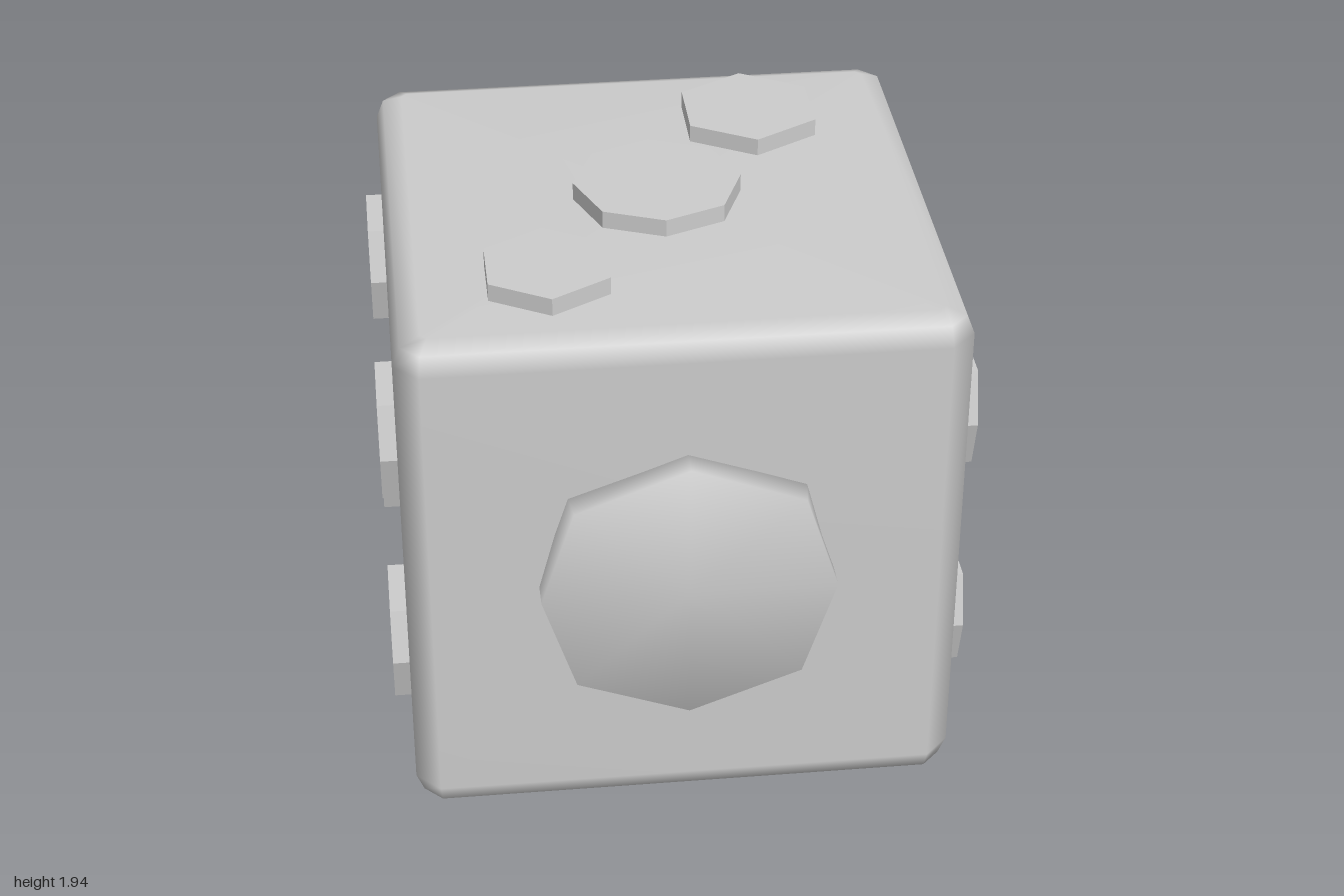
import * as THREE from 'three';

const material = new THREE.MeshStandardMaterial({ color: 0xcccccc });
const CENTER_Y = 0.97;

// Smooth closed solid through matching rings [[x, y], ...] stacked along +z
function loft(levels) {
  const n = levels[0].ring.length, pos = [], index = [];
  for (const { ring, z } of levels) for (const [x, y] of ring) pos.push(x, y, z);
  for (let k = 0; k < levels.length - 1; k++) {
    for (let i = 0; i < n; i++) {
      const a = k * n + i, b = k * n + (i + 1) % n;
      index.push(a, b, b + n, a, b + n, a + n);
    }
  }
  const last = levels.length - 1, c = levels.length * n;
  pos.push(0, 0, levels[0].z, 0, 0, levels[last].z);
  for (let i = 0; i < n; i++) {
    const j = (i + 1) % n;
    index.push(c, j, i, c + 1, last * n + i, last * n + j);
  }
  const geo = new THREE.BufferGeometry();
  geo.setAttribute('position', new THREE.Float32BufferAttribute(pos, 3));
  geo.setIndex(index);
  geo.computeVertexNormals();
  return geo;
}

// Square with chamfered corners, counter-clockwise
function chamferedSquare(h, c) {
  const d = h - c;
  return [[h, -d], [h, d], [d, h], [-d, h], [-h, d], [-h, -d], [-d, -h], [d, -h]];
}

// Octagon with its diagonal corners at (dx, dy)
const octagon = (r, dx, dy) =>
  [[r, 0], [dx, dy], [0, r], [-dx, dy], [-r, 0], [-dx, -dy], [0, -r], [dx, -dy]];

const hexagon = (r) => [0, 1, 2, 3, 4, 5].map((i) => {
  const a = Math.PI / 6 + i * Math.PI / 3;
  return [r * Math.cos(a), r * Math.sin(a)];
});

// Hexagon lying on its flats, w and h are half sizes, f the half flat
const sideHexagon = (w, h, f) => [[w, 0], [f, h], [-f, h], [-w, 0], [-f, -h], [f, -h]];

// Hard-edged pip standing on the plane z = 0.85, up to z = top
function pipGeometry(points, top) {
  const shape = new THREE.Shape(points.map(([x, y]) => new THREE.Vector2(x, y)));
  return new THREE.ExtrudeGeometry(shape, { depth: top - 0.85, bevelEnabled: false })
    .translate(0, 0, 0.85);
}

export function createModel() {
  const group = new THREE.Group();
  const add = (name, geometry) => {
    const mesh = new THREE.Mesh(geometry.translate(0, CENTER_Y, 0), material);
    mesh.name = name;
    group.add(mesh);
  };

  // Cube with softened edges
  const profile = [[0.82, 0.02, 0.91], [0.885, 0.06, 0.885], [0.91, 0.08, 0.82]];
  const levels = [
    ...profile.map(([h, c, z]) => ({ ring: chamferedSquare(h, c), z: -z })),
    ...profile.slice().reverse().map(([h, c, z]) => ({ ring: chamferedSquare(h, c), z })),
  ];
  add('body', loft(levels).rotateX(-Math.PI / 2));

  for (const s of [1, -1]) {
    // Single large pip on the front and the back
    const big = loft([
      { ring: octagon(0.48, 0.39, 0.34), z: 0.85 },
      { ring: octagon(0.48, 0.37, 0.34), z: 1 },
    ]);
    add(s > 0 ? 'frontPip' : 'backPip', big.rotateY(s > 0 ? 0 : Math.PI));

    // Five pips on each side
    const side = s > 0 ? 'left' : 'right';
    const turn = s * Math.PI / 2;
    add(side + 'CentrePip',
      pipGeometry(sideHexagon(0.195, 0.19, 0.14), 0.965).rotateY(turn));
    for (const z of [-0.555, 0.555]) {
      for (const y of [-0.408, 0.408]) {
        add(side + 'CornerPip',
          pipGeometry(sideHexagon(0.182, 0.178, 0.13), 0.965).rotateY(turn).translate(0, y, z));
      }
    }

    // Three pips along the diagonal of the top and the bottom
    const face = s > 0 ? 'top' : 'bottom';
    const tilt = -s * Math.PI / 2;
    add(face + 'CentrePip', pipGeometry(octagon(0.28, 0.2, 0.2), 0.97).rotateX(tilt));
    add(face + 'LargePip',
      pipGeometry(hexagon(0.25), 0.97).rotateX(tilt).translate(0.37, 0, -0.485));
    add(face + 'SmallPip',
      pipGeometry(hexagon(0.223), 0.97).rotateX(tilt).translate(-0.405, 0, 0.507));
  }
  return group;
}
